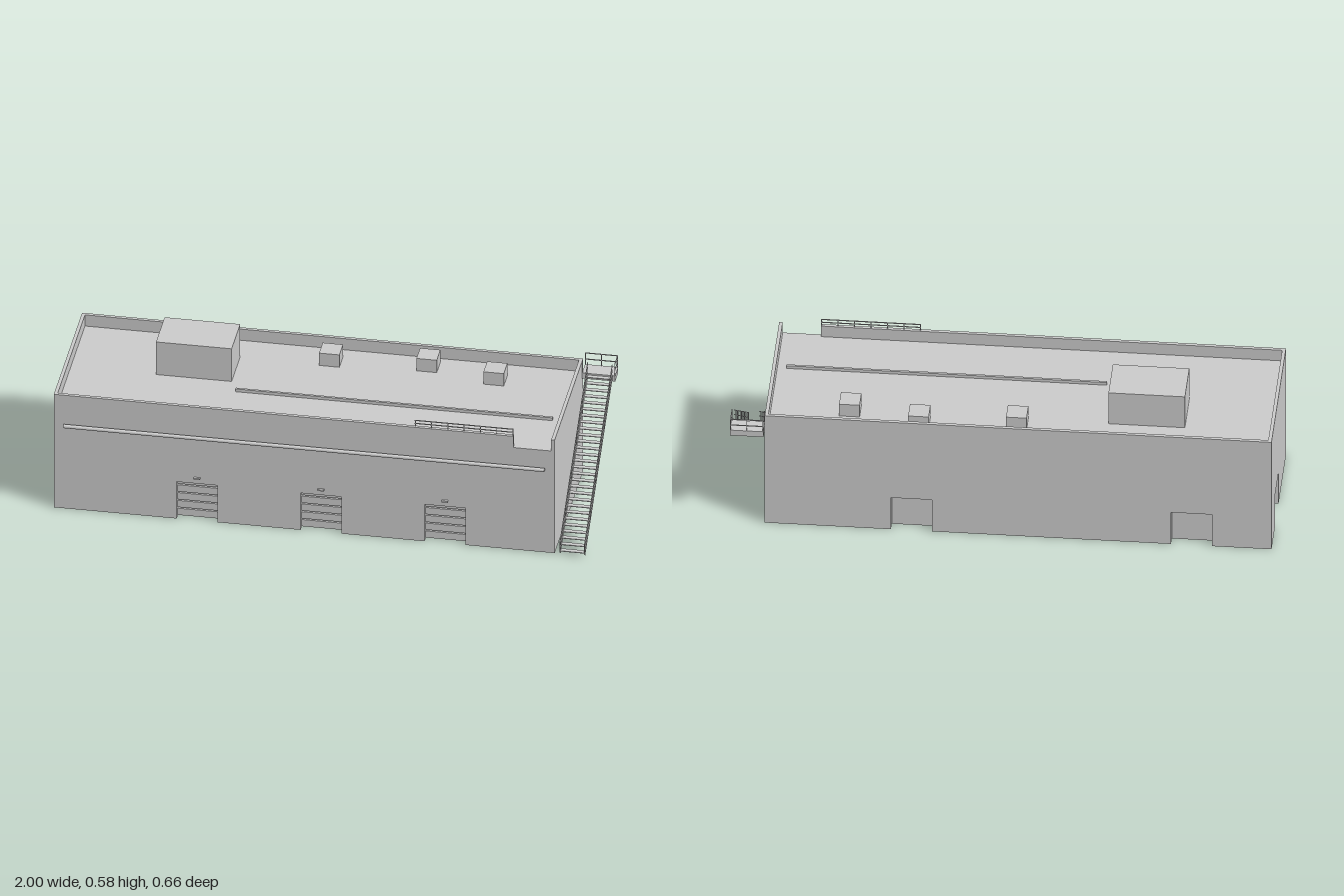
import * as THREE from 'three';

const mat = new THREE.MeshStandardMaterial({ color: 0xcccccc, flatShading: true });
const L = -1, R = 0.875, F = 0.305, B = -0.29;   // outer walls
const ROOF = 0.437, TOP = 0.485, T = 0.013, RECESS = 0.035;

export function createModel() {
  const root = new THREE.Group();
  root.name = 'warehouse';

  const group = (name) => {
    const g = new THREE.Group();
    g.name = name;
    root.add(g);
    return g;
  };
  const add = (parent, name, geometry) => {
    const m = new THREE.Mesh(geometry, mat);
    m.name = name;
    parent.add(m);
    return m;
  };
  // box given by its limits on each axis
  const box = (parent, name, x0, x1, y0, y1, z0, z1) => {
    const m = add(parent, name, new THREE.BoxGeometry(x1 - x0, y1 - y0, z1 - z0));
    m.position.set((x0 + x1) / 2, (y0 + y1) / 2, (z0 + z1) / 2);
    return m;
  };
  // square bar between two points
  const bar = (parent, name, a, b, w = 0.003, h = w) => {
    const p = new THREE.Vector3(...a), q = new THREE.Vector3(...b);
    const m = add(parent, name, new THREE.BoxGeometry(w, h, p.distanceTo(q)));
    m.position.copy(p).lerp(q, 0.5);
    m.lookAt(q);
    return m;
  };

  // Building body in layers, with door recesses cut into the plan
  const frontDoors = [[-0.54, -0.387], [-0.076, 0.077], [0.388, 0.541]];
  const backDoors = [[0.408, 0.257], [-0.628, -0.78]];
  const sideDoors = [[-0.155, 0.0]];
  const body = group('building');
  const layer = (name, y0, y1, front, back, side) => {
    const pts = [[L, F]];
    for (const [a, b] of front) pts.push([a, F], [a, F - RECESS], [b, F - RECESS], [b, F]);
    pts.push([R, F], [R, B]);
    for (const [a, b] of back) pts.push([a, B], [a, B + RECESS], [b, B + RECESS], [b, B]);
    pts.push([L, B]);
    for (const [a, b] of side) pts.push([L, a], [L + RECESS, a], [L + RECESS, b], [L, b]);
    const shape = new THREE.Shape(pts.map(([x, z]) => new THREE.Vector2(x, -z)));
    const g = new THREE.ExtrudeGeometry(shape, { depth: y1 - y0, bevelEnabled: false });
    add(body, name, g.rotateX(-Math.PI / 2).translate(0, y0, 0));
  };
  layer('lowerWalls', 0, 0.143, frontDoors, backDoors, sideDoors);
  layer('doorHeadWalls', 0.143, 0.158, frontDoors, [], []);
  layer('upperWallsAndRoof', 0.158, ROOF, [], [], []);

  // Parapet, open at the front near the right-hand corner
  const parapet = group('parapet');
  box(parapet, 'rightParapet', R - T, R, ROOF, TOP, B, F);
  box(parapet, 'leftParapet', L, L + T, ROOF, TOP, B, F);
  box(parapet, 'backParapet', L + T, R - T, ROOF, TOP, B, B + T);
  box(parapet, 'frontParapet', L + T, 0.72, ROOF, TOP, F - T, F);

  // Slatted doors with a small lamp above each
  for (const [a, b] of frontDoors) {
    const door = group('frontDoor');
    for (let i = 0; i < 5; i++) {
      const y = 0.003 + i * 0.0335;
      box(door, 'doorSlat', a, b, y, Math.min(y + 0.0285, 0.158), F - RECESS, F - 0.022);
    }
    const c = (a + b) / 2;
    box(root, 'doorLamp', c - 0.012, c + 0.012, 0.179, 0.185, F, F + 0.009);
  }

  // Long pipe along the front wall
  const pipe = add(root, 'frontPipe', new THREE.CylinderGeometry(0.0075, 0.0075, 1.8, 16));
  pipe.rotation.z = Math.PI / 2;
  pipe.position.set(-0.06, 0.363, 0.323);

  // Roof equipment
  const roof = group('roofEquipment');
  box(roof, 'largeRoofUnit', -0.668, -0.385, ROOF, 0.577, -0.16, 0.02);
  for (const [x, z] of [[-0.05, -0.188], [0.31, -0.213], [0.57, -0.162]])
    box(roof, 'roofVent', x - 0.038, x + 0.038, ROOF, 0.49, z - 0.038, z + 0.038);
  box(roof, 'roofDuct', -0.358, 0.828, ROOF, ROOF + 0.012, 0.081, 0.09);

  // Guard rail on the front parapet
  const guard = group('roofRailing');
  for (const y of [0.498, 0.511]) bar(guard, 'rail', [0.35, y, 0.298], [0.72, y, 0.298]);
  for (let i = 0; i <= 6; i++) {
    const x = 0.352 + i * 0.061;
    bar(guard, 'post', [x, TOP, 0.298], [x, 0.511, 0.298]);
  }

  // Outside stair rising from front to back
  const stair = group('stair');
  const Z0 = 0.318, Z1 = -0.265, SLOPE = 0.737;
  const yAt = (z, offset) => (Z0 - z) * SLOPE + offset;
  for (const x of [0.897, 0.989]) {
    bar(stair, 'stringer', [x, yAt(Z0 - 0.004, 0.008), Z0 - 0.004], [x, yAt(Z1, 0.008), Z1], 0.003, 0.012);
    for (const h of [0.035, 0.056]) bar(stair, 'handrail', [x, yAt(Z0, h), Z0], [x, yAt(Z1, h), Z1]);
    for (let i = 0; i < 10; i++) {
      const z = Z0 - 0.002 - i * 0.058;
      bar(stair, 'post', [x, yAt(z, 0.012), z], [x, yAt(z, 0.056), z]);
    }
  }
  const steps = 28;
  for (let i = 0; i < steps; i++) {
    const z = Z0 - 0.012 - (i / steps) * (Z0 - Z1);
    const y = yAt(z, 0.008);
    box(stair, 'tread', 0.897, 0.989, y - 0.0015, y + 0.0015, z - 0.009, z + 0.009);
  }

  // Landing at the top with railing on its outer and back sides
  const landing = group('landing');
  box(landing, 'landingFloor', R + 0.001, 1, 0.415, 0.439, -0.328, -0.264);
  const corners = [[0.998, -0.266], [0.998, -0.327], [0.878, -0.327]];
  for (const y of [0.462, 0.488])
    for (let i = 0; i < 2; i++) {
      const [a, b] = [corners[i], corners[i + 1]];
      bar(landing, 'rail', [a[0], y, a[1]], [b[0], y, b[1]]);
    }
  for (const [x, z] of [...corners, [0.938, -0.327], [0.878, -0.266]])
    bar(landing, 'post', [x, 0.439, z], [x, 0.489, z]);

  return root;
}
